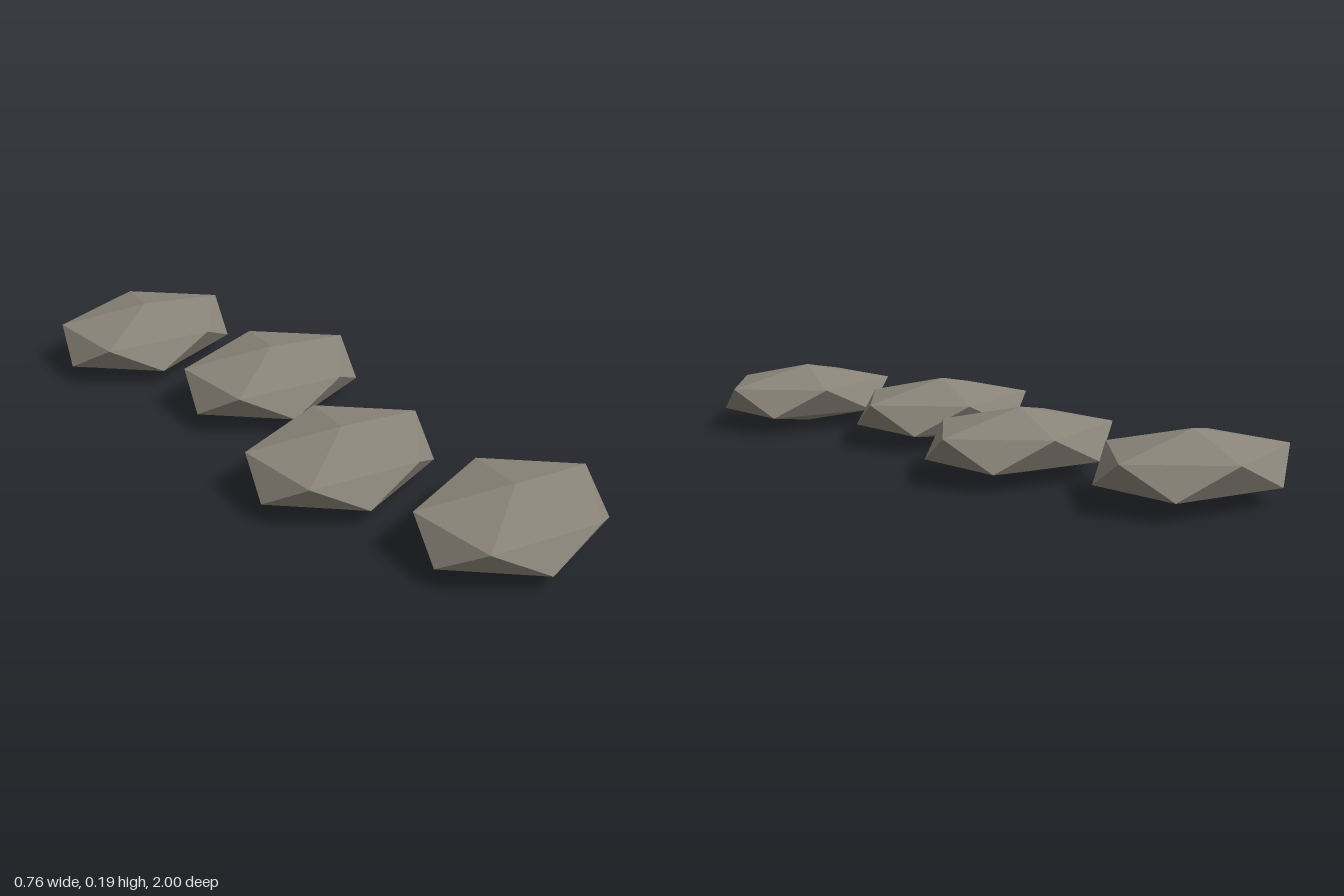
import * as THREE from 'three';

// Faceted stone: an icosahedron standing on a corner, squashed to the given half sizes
function stoneGeometry(rx, ry, rz) {
  const h = 1 / Math.sqrt(5), r = 2 * h;
  const points = [0, 1, 0, 0, -1, 0];
  const faces = [];
  for (let i = 0; i < 5; i++) {
    const a = (i * Math.PI * 2) / 5, b = a + Math.PI / 5;
    points.push(r * Math.cos(a), h, r * Math.sin(a)); // upper ring
    points.push(r * Math.cos(b), -h, r * Math.sin(b)); // lower ring
    const u = 2 + 2 * i, l = u + 1;
    const u2 = 2 + 2 * ((i + 1) % 5), l2 = u2 + 1;
    faces.push(0, u2, u, u, u2, l, l, u2, l2, 1, l, l2);
  }
  const geometry = new THREE.PolyhedronGeometry(points, faces, 1, 0);
  geometry.scale(rx, ry, rz);
  return geometry;
}

export function createModel() {
  const model = new THREE.Group();
  model.name = 'steppingStones';

  const stoneGrey = new THREE.MeshStandardMaterial({ color: 0x8a8479 });
  stoneGrey.name = 'stoneGrey';
  stoneGrey.flatShading = true;

  const geometry = stoneGeometry(0.325, 0.0935, 0.2565);

  // Staggered row of four equal stones: [x, z]
  const places = [[-0.015, -0.782], [0.09, -0.261], [-0.093, 0.261], [0.038, 0.782]];
  places.forEach(([x, z], i) => {
    const stone = new THREE.Mesh(geometry, stoneGrey);
    stone.name = `steppingStone${i + 1}`;
    stone.position.set(x, 0.0935, z);
    model.add(stone);
  });
  return model;
}
